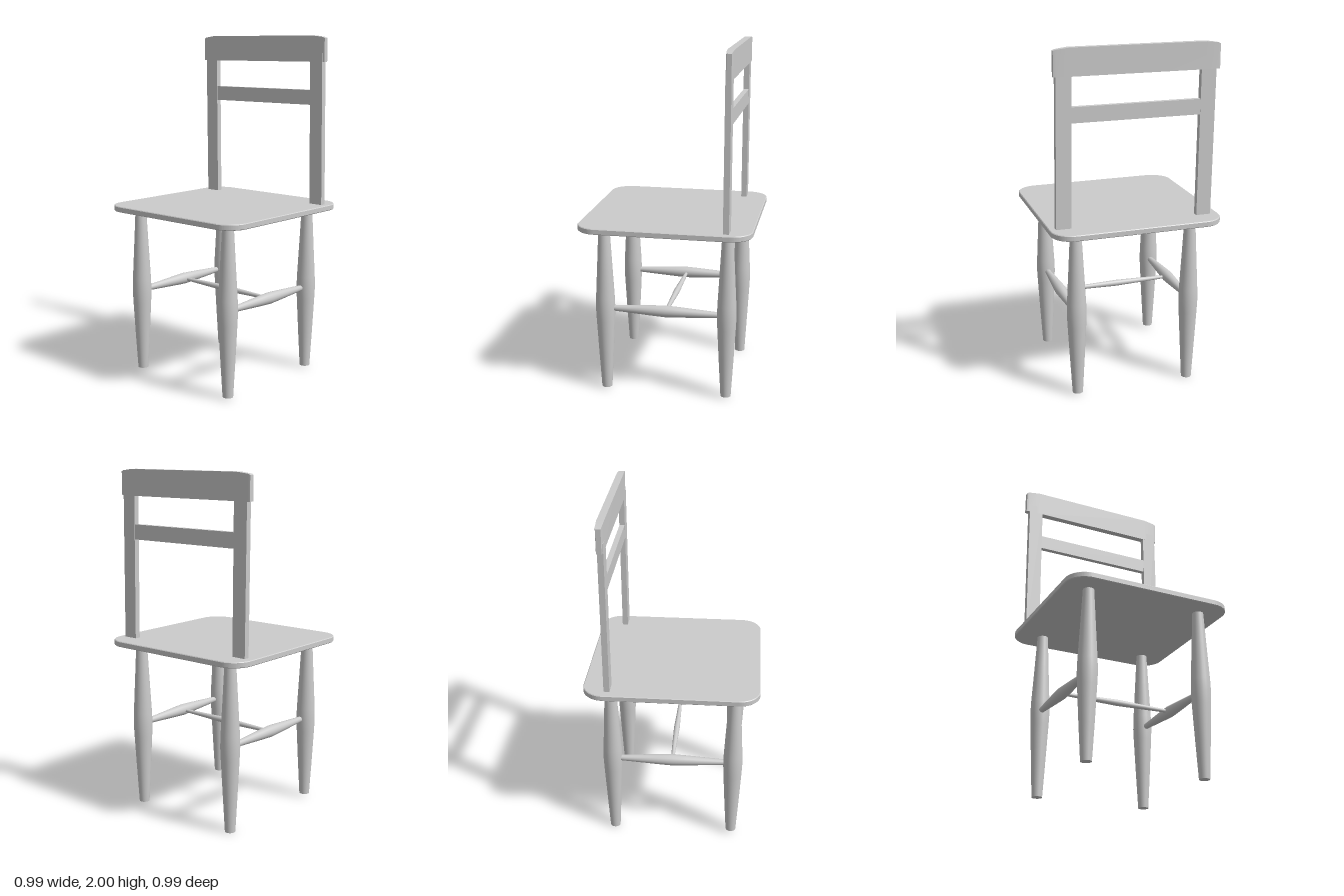
import * as THREE from 'three';

const material = new THREE.MeshStandardMaterial({ color: 0xcccccc });
const BACK_Z = -0.355;

function part(name, geometry, parent) {
  const mesh = new THREE.Mesh(geometry, material);
  mesh.name = name;
  parent.add(mesh);
  return mesh;
}

// Turned solid from [radius, height] pairs, bottom to top, closed at both ends
function turned(profile, sides = 24) {
  const points = profile.map(([r, y]) => new THREE.Vector2(r, y));
  const first = points[0], last = points[points.length - 1];
  // doubled end points keep the flat ends crisp
  const outline = [new THREE.Vector2(0, first.y), first.clone(), first.clone(), ...points.slice(1), last.clone(), new THREE.Vector2(0, last.y)];
  return new THREE.LatheGeometry(outline, sides);
}

// Flat board from a front outline, centred on z = 0
function board(corners, depth) {
  const shape = new THREE.Shape(corners.map(([x, y]) => new THREE.Vector2(x, y)));
  return new THREE.ExtrudeGeometry(shape, { depth, bevelEnabled: false }).translate(0, 0, -depth / 2);
}

function seatGeometry() {
  const bevel = 0.004, h = 0.495 - bevel, r = 0.115;
  const shape = new THREE.Shape();
  shape.moveTo(h, h - r);
  shape.absarc(h - r, h - r, r, 0, Math.PI / 2);
  shape.absarc(r - h, h - r, r, Math.PI / 2, Math.PI);
  shape.absarc(r - h, r - h, r, Math.PI, Math.PI * 1.5);
  shape.absarc(h - r, r - h, r, Math.PI * 1.5, Math.PI * 2);
  return new THREE.ExtrudeGeometry(shape, {
    depth: 0.025, bevelThickness: bevel, bevelSize: bevel, bevelSegments: 1, curveSegments: 10,
  }).rotateX(-Math.PI / 2).translate(0, 0.991, 0);
}

// Top rail: a box whose ends thin out and whose upper corners drop away
function topRailGeometry() {
  const stations = [ // x, half depth, top y
    [-0.468, 0.014, 1.985], [-0.455, 0.017, 1.991], [-0.385, 0.02, 2],
    [0.385, 0.02, 2], [0.455, 0.017, 1.991], [0.468, 0.014, 1.985],
  ];
  const n = stations.length - 1;
  const geometry = new THREE.BoxGeometry(n, 1, 1, n, 1, 1);
  const pos = geometry.attributes.position;
  for (let i = 0; i < pos.count; i++) {
    const [x, d, top] = stations[Math.round(pos.getX(i) + n / 2)];
    pos.setXYZ(i, x, pos.getY(i) > 0 ? top : 1.85, pos.getZ(i) > 0 ? d : -d);
  }
  geometry.computeVertexNormals();
  return geometry;
}

export function createModel() {
  const chair = new THREE.Group();
  chair.name = 'chair';

  part('seat', seatGeometry(), chair);

  // Legs: x, z and foot height of each
  const legs = [
    ['frontLeftLeg', 0.345, 0.355, 0.01],
    ['frontRightLeg', -0.345, 0.355, 0.02],
    ['backLeftLeg', 0.345, -0.352, 0.01],
    ['backRightLeg', -0.332, -0.352, 0],
  ];
  for (const [name, x, z, foot] of legs) {
    const profile = [[0.03, foot], [0.042, 0.22], [0.053, 0.43], [0.056, 0.5], [0.054, 0.57], [0.042, 0.79], [0.031, 1]];
    part(name, turned(profile), chair).position.set(x, 0, z);
  }

  // Side stretchers, fattest in the middle, ending inside the legs
  const sideProfile = [[0.014, -0.345], [0.018, -0.28], [0.03, -0.08], [0.034, 0], [0.03, 0.08], [0.018, 0.28], [0.014, 0.345]];
  for (const [name, x] of [['leftStretcher', 0.345], ['rightStretcher', -0.34]]) {
    const bar = part(name, turned(sideProfile, 16), chair);
    bar.rotation.x = Math.PI / 2;
    bar.position.set(x, 0.505, 0);
  }

  // Cross stretcher joining the two side stretchers
  const crossProfile = [[0.009, -0.335], [0.011, -0.27], [0.018, 0], [0.011, 0.27], [0.009, 0.335]];
  const cross = part('crossStretcher', turned(crossProfile, 16), chair);
  cross.rotation.z = Math.PI / 2;
  cross.position.set(0, 0.504, 0);

  // Backrest: slightly leaning posts, a slat and the top rail
  const back = new THREE.Group();
  back.name = 'backrest';
  back.position.z = BACK_Z;
  chair.add(back);
  part('rightPost', board([[-0.447, 1.01], [-0.362, 1.01], [-0.371, 1.9], [-0.458, 1.9]], 0.033), back);
  part('leftPost', board([[0.373, 1.01], [0.459, 1.01], [0.446, 1.9], [0.36, 1.9]], 0.033), back);
  part('backSlat', board([[-0.4, 1.602], [0.4, 1.602], [0.4, 1.688], [-0.4, 1.688]], 0.03), back);
  part('topRail', topRailGeometry(), back).position.set(-0.01, 0, -0.003);

  return chair;
}
